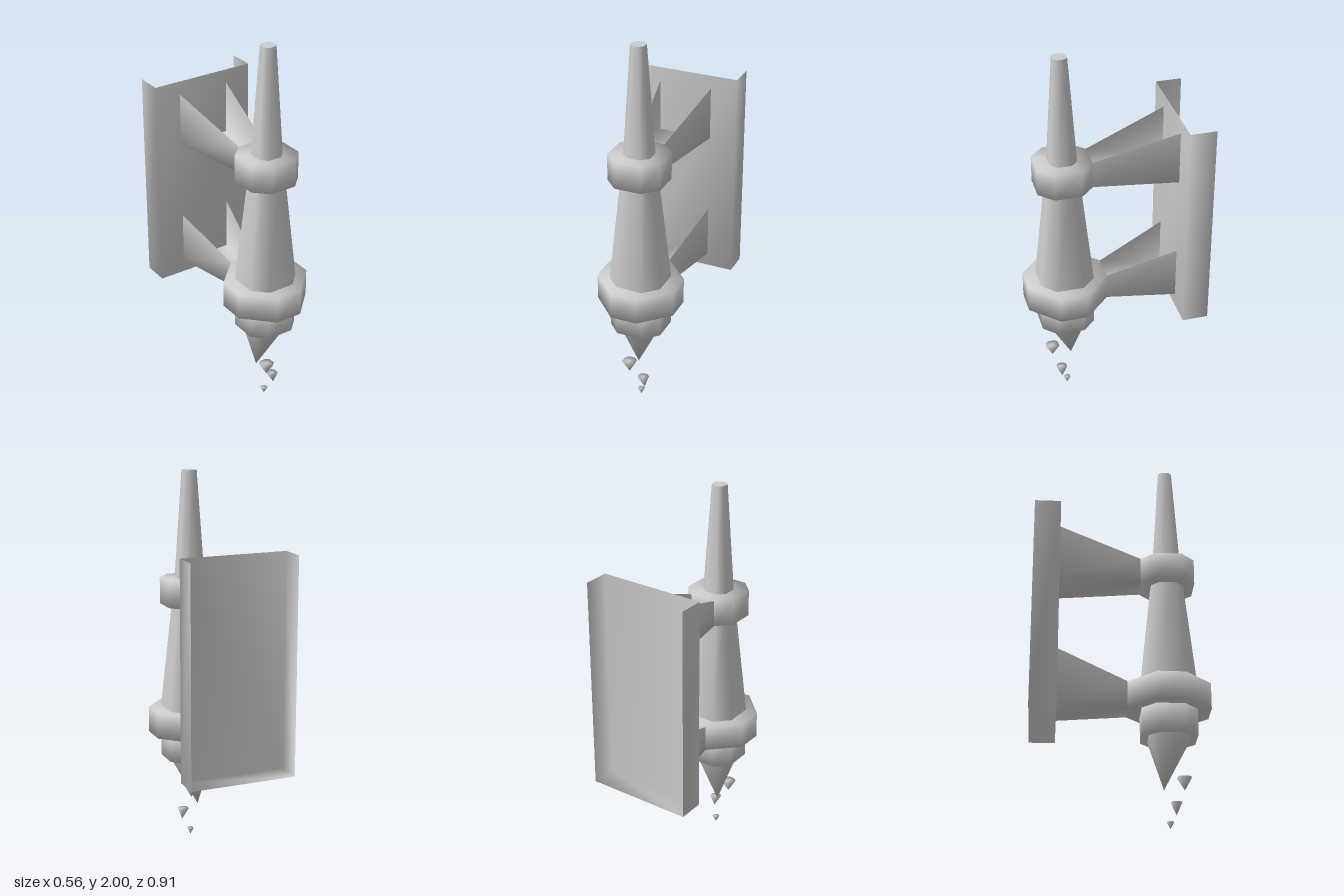
import * as THREE from 'three';
import { mergeVertices } from 'three/addons/utils/BufferGeometryUtils.js';

const AXIS_Z = 0.245; // spindle axis
const material = new THREE.MeshStandardMaterial({ color: 0xcccccc, side: THREE.DoubleSide });

// Joins equal-sized rows of points into a softly shaded skin.
function skin(rows, closed) {
  const n = rows[0].length;
  const index = [];
  for (let i = 0; i < rows.length - 1; i++) {
    for (let j = 0; j < (closed ? n : n - 1); j++) {
      const k = (j + 1) % n;
      const a = i * n + j, b = i * n + k, c = a + n, d = b + n;
      index.push(a, c, b, b, c, d);
    }
  }
  const geometry = new THREE.BufferGeometry();
  geometry.setAttribute('position', new THREE.Float32BufferAttribute(rows.flat(2), 3));
  geometry.setIndex(index);
  return smooth(geometry);
}

function smooth(geometry) {
  geometry.deleteAttribute('normal');
  geometry.deleteAttribute('uv');
  const merged = mergeVertices(geometry, 1e-5);
  merged.computeVertexNormals();
  return merged;
}

// Chamfered-square section: half width h, half length of the flat c.
function octagon(y, h, c = h / 2, x = 0, z = AXIS_Z) {
  return [[h, -c], [h, c], [c, h], [-c, h], [-h, c], [-h, -c], [-c, -h], [c, -h]]
    .map(([px, pz]) => [x + px, y, z + pz]);
}

export function createModel() {
  const group = new THREE.Group();
  const add = (name, geometry) => {
    const mesh = new THREE.Mesh(geometry, material);
    mesh.name = name;
    group.add(mesh);
  };
  const loft = (name, ...sections) => add(name, skin(sections, true));

  // Tapering spindle with a flat end
  loft('spindle', octagon(0.74, 0.14), octagon(1.44, 0.07), octagon(2, 0.035));
  loft('spindleCap', octagon(2, 0.035), octagon(2, 0));

  // Holder rings and the cup below them
  for (const [name, y, h] of [['upperRing', 1.3, 0.14], ['lowerRing', 0.6, 0.21], ['cup', 0.46, 0.14]]) {
    loft(name, octagon(y, 0), octagon(y, h, 0.07), octagon(y + 0.14, h, 0.07), octagon(y + 0.14, 0));
  }

  // Crooked point under the cup
  loft('point', octagon(0.185, 0, 0, -0.03, 0.213), octagon(0.46, 0.105));

  // Falling drips: tip x, y, z, then top x, y, z and half width
  const drips = [
    [-0.035, 0.185, 0.315, -0.035, 0.25, 0.315, 0.035],
    [0.035, 0.08, 0.28, 0.027, 0.142, 0.28, 0.027],
    [0, 0, 0.245, 0, 0.035, 0.245, 0.017],
  ];
  for (const [tx, ty, tz, x, y, z, h] of drips) {
    loft('drip', octagon(ty, 0, 0, tx, tz), octagon(y, h, h / 2, x, z), octagon(y, 0, 0, x, z));
  }

  // Open-topped bracket arms, widening towards the wall plate
  const channel = (x, top, bottom, z) =>
    [[-x, top, z], [-x, bottom, z], [x, bottom, z], [x, top, z]];
  for (const [name, y, z] of [['upperBracket', 1.3, 0.105], ['lowerBracket', 0.6, 0.035]]) {
    add(name, skin([channel(0.14, y + 0.28, y, -0.32), channel(0.07, y + 0.14, y, z)], false));
  }

  // Wall plate: a tray open at the top and back
  const plate = new THREE.BoxGeometry(0.56, 1.12, 0.135);
  const faces = Array.from(plate.index.array);
  plate.setIndex([0, 1, 3, 4].flatMap((f) => faces.slice(f * 6, f * 6 + 6)));
  plate.clearGroups();
  plate.translate(0, 1.09, -0.3875);
  add('wallPlate', smooth(plate));

  return group;
}
